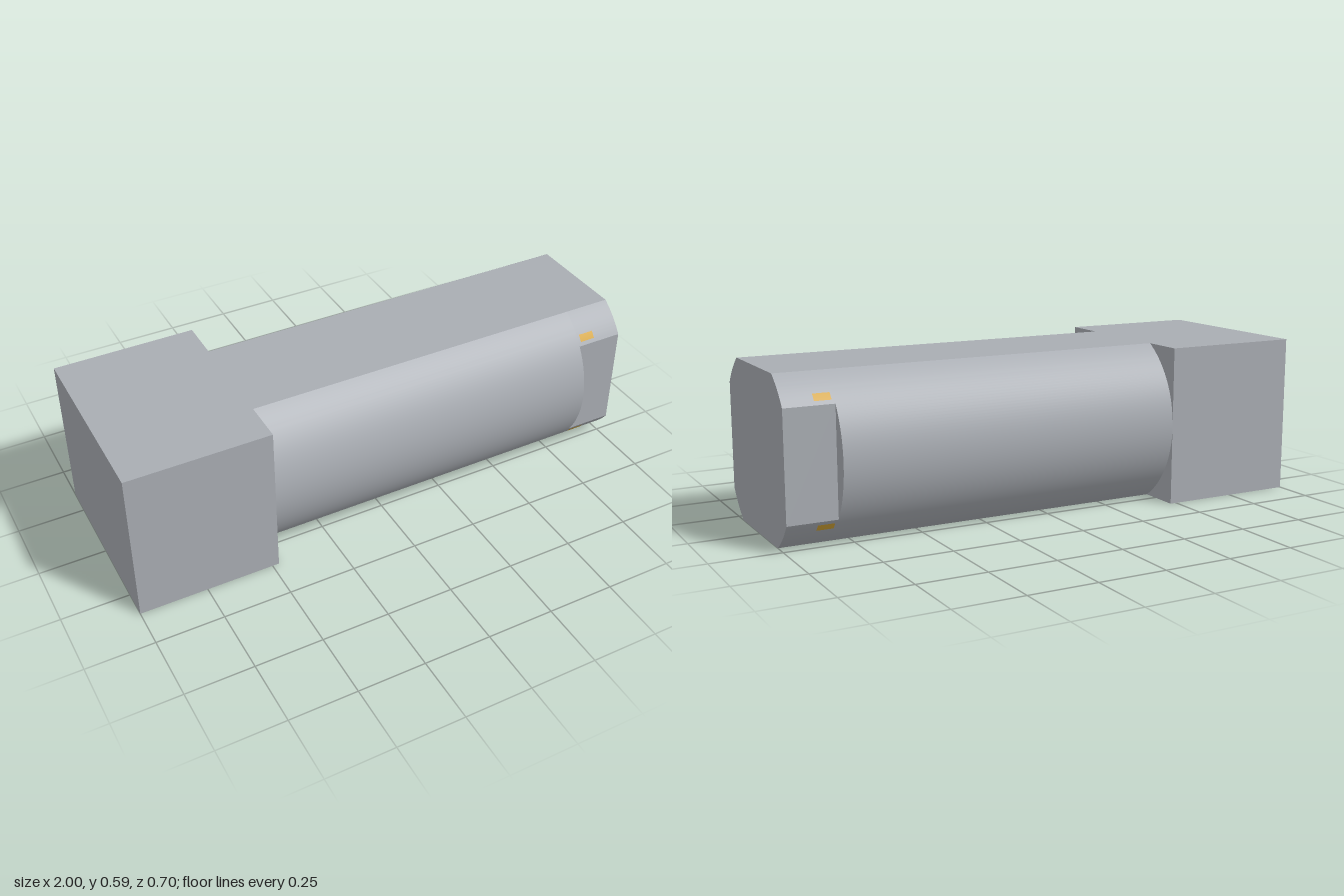
import * as THREE from 'three';
import { toCreasedNormals } from 'three/addons/utils/BufferGeometryUtils.js';

const HEIGHT = 0.588, HALF = HEIGHT / 2, RADIUS = 0.352;
const SHOULDER_X = -0.475, TIP_X = 0.82, FLAT_Z = 0.293;

// Round section cut flat at top and bottom, and optionally at the sides
function section(flatZ) {
  const a = Math.asin(HALF / RADIUS);
  const b = flatZ ? Math.acos(flatZ / RADIUS) : 0;
  const s = new THREE.Shape();
  for (const base of [0, Math.PI]) {
    if (b > 0) {
      s.absarc(0, 0, RADIUS, base - a, base - b, false);
      s.absarc(0, 0, RADIUS, base + b, base + a, false);
    } else {
      s.absarc(0, 0, RADIUS, base - a, base + a, false);
    }
  }
  s.closePath();
  return s;
}

// Extrude a section along x between two stations
function bar(flatZ, x0, x1) {
  const g = new THREE.ExtrudeGeometry(section(flatZ), {
    depth: x1 - x0, bevelEnabled: false, curveSegments: flatZ ? 12 : 32,
  });
  g.rotateY(Math.PI / 2).translate(x0, HALF, 0);
  return toCreasedNormals(g, 0.3);
}

export function createModel() {
  const steel = new THREE.MeshStandardMaterial({ color: 0xa9adb3 });
  steel.name = 'steel grey';
  const gold = new THREE.MeshStandardMaterial({ color: 0xd4a535 });
  gold.name = 'gold';

  const model = new THREE.Group();
  model.name = 'squareHeadedPin';
  const add = (name, geometry, material) => {
    const mesh = new THREE.Mesh(geometry, material);
    mesh.name = name;
    model.add(mesh);
  };

  // Square head
  const headLength = SHOULDER_X + 1;
  const head = new THREE.BoxGeometry(headLength, HEIGHT, RADIUS * 2);
  head.translate(-1 + headLength / 2, HALF, 0);
  add('head', head, steel);

  // Shaft and the narrower tip with side flats
  add('shaft', bar(0, SHOULDER_X, TIP_X), steel);
  add('tip', bar(FLAT_Z, TIP_X, 1), steel);

  // Small gold marks above and below each side flat
  const start = 0.63, span = 0.08;
  for (const side of [0, Math.PI]) {
    for (const theta of [side + start, side - start - span]) {
      const mark = new THREE.CylinderGeometry(RADIUS + 0.001, RADIUS + 0.001, 0.06, 6, 1, true, theta, span);
      mark.rotateZ(-Math.PI / 2).translate(0.86, HALF, 0);
      add('goldMark', mark, gold);
    }
  }
  return model;
}
